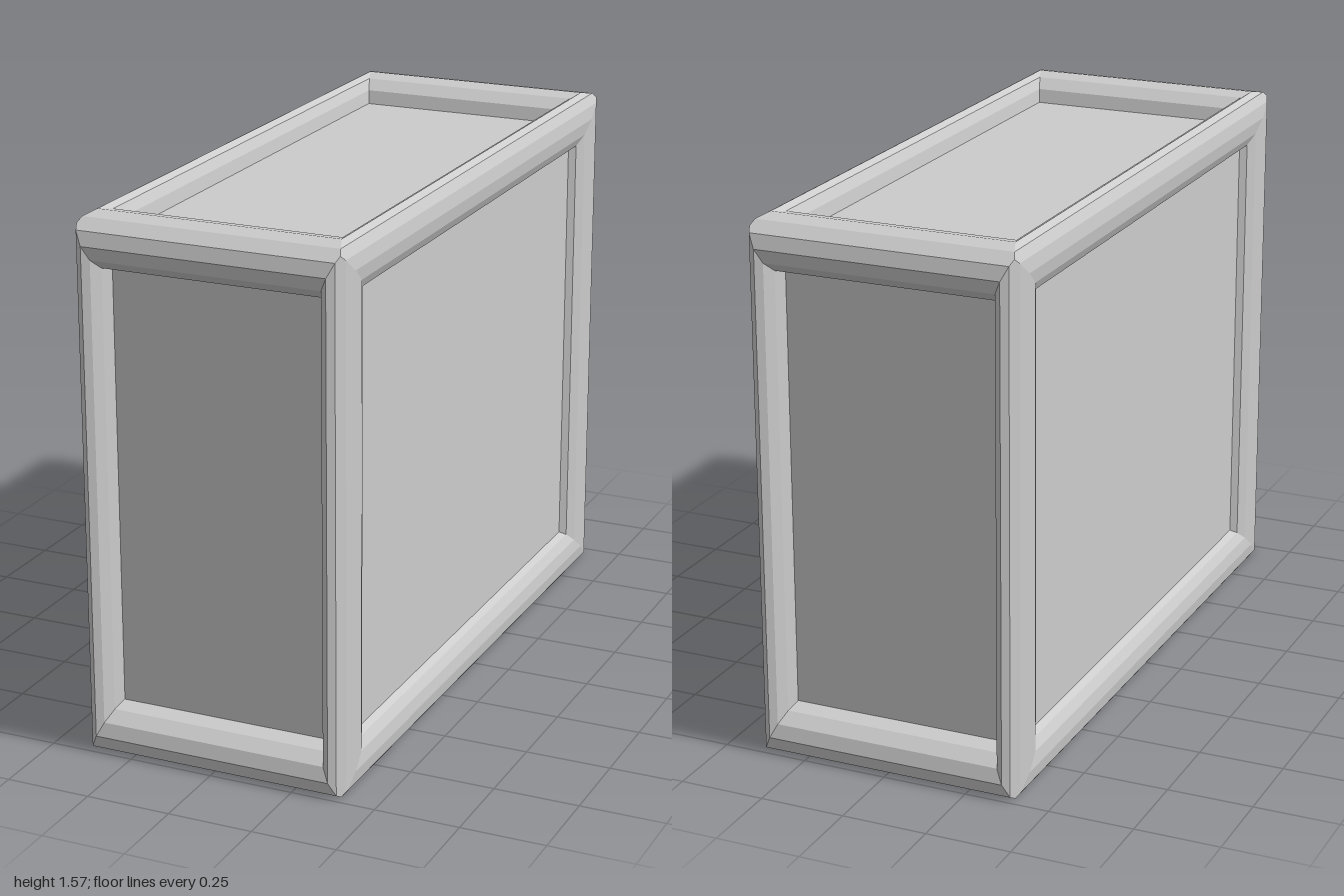
import * as THREE from 'three';

export function createModel() {
  const group = new THREE.Group();
  const material = new THREE.MeshStandardMaterial({ color: 0xcccccc, flatShading: true });
  const half = new THREE.Vector3(0.4, 0.8, 1); // half sizes of the crate
  const midY = 0.77;
  const bar = 0.1; // radius of the twelve-sided edge bars, before stretching

  // Turns a piece made on the top of a unit cube to its side, then stretches it
  const addPart = (name, geometry, rx = 0, rz = 0) => {
    const g = geometry.index ? geometry.toNonIndexed() : geometry;
    g.rotateX(rx).rotateZ(rz).scale(half.x, half.y, half.z).translate(0, midY, 0);
    const p = g.attributes.position;
    for (let i = 0; i < p.count; i++) p.setY(i, Math.max(0, p.getY(i))); // flat underside
    g.computeVertexNormals();
    const mesh = new THREE.Mesh(g, material);
    mesh.name = name;
    group.add(mesh);
  };

  // Bar profile from the mitre on the outer edge, over the crest, down to the panel
  const miter = 0.9 + bar * Math.cos(Math.PI / 12) * Math.SQRT1_2;
  const profile = [new THREE.Vector2(miter * Math.SQRT2, miter)];
  for (let deg = 60; deg <= 180; deg += 30) {
    const a = THREE.MathUtils.degToRad(deg);
    profile.push(new THREE.Vector2((0.9 + bar * Math.cos(a)) * Math.SQRT2, 0.9 + bar * Math.sin(a)));
  }

  // Five sides, each a mitred frame around a sunken panel
  const q = Math.PI / 2;
  const sides = [['top', 0, 0], ['front', q, 0], ['back', -q, 0], ['left', 0, -q], ['right', 0, q]];
  for (const [name, rx, rz] of sides) {
    addPart(name + 'Frame', new THREE.LatheGeometry(profile, 4, Math.PI / 4), rx, rz);
    addPart(name + 'Panel', new THREE.PlaneGeometry(1.6, 1.6).rotateX(-q).translate(0, 0.9, 0), rx, rz);
  }

  // Flat base
  addPart('base', new THREE.PlaneGeometry(2 * miter, 2 * miter).rotateX(q).translate(0, -midY / half.y, 0));
  return group;
}
